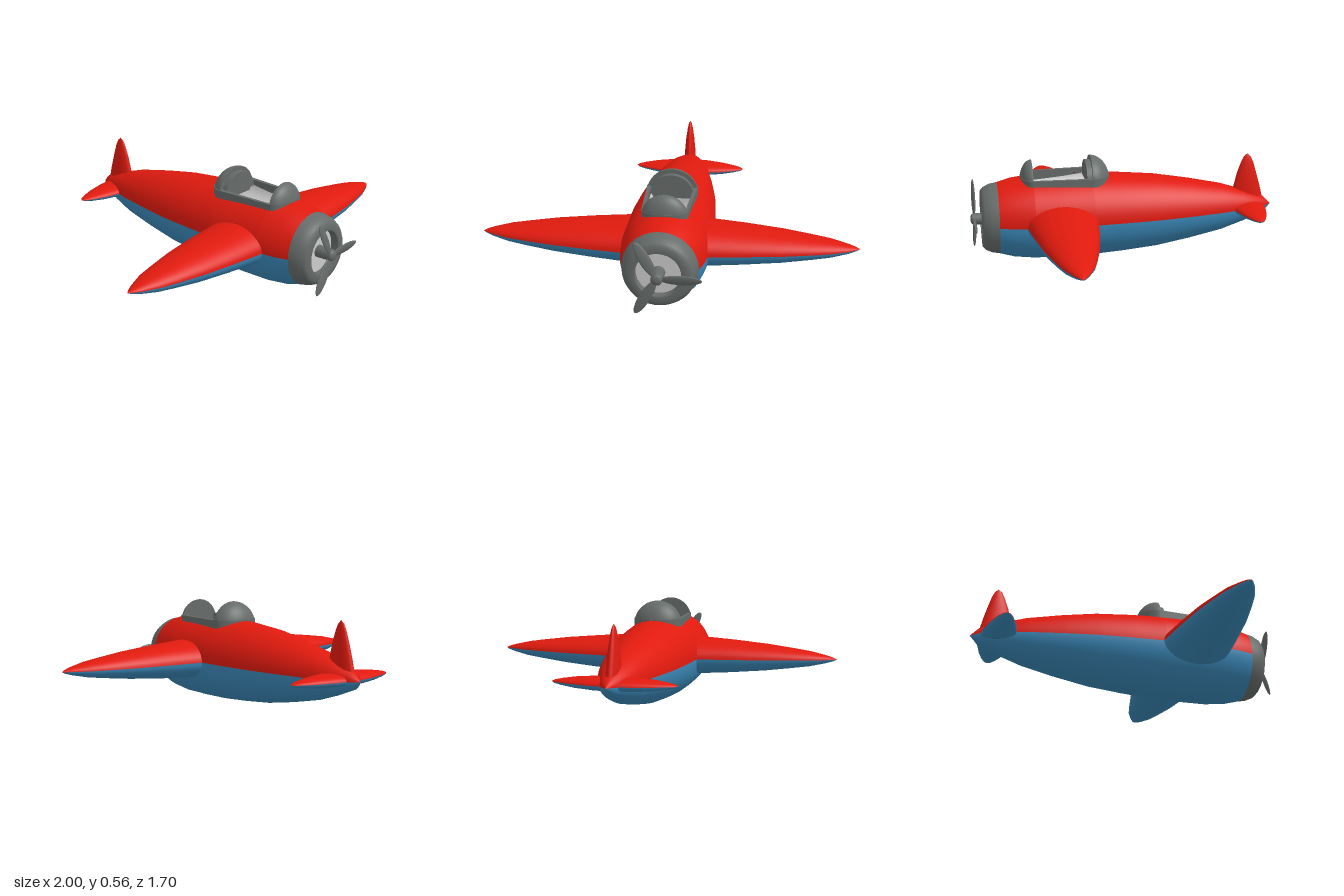
import * as THREE from 'three';

const Y = 0.233; // height of the fuselage axis
const mat = (color) => new THREE.MeshStandardMaterial({ color, side: THREE.DoubleSide });

export function createModel() {
  const plane = new THREE.Group();
  plane.name = 'airplane';
  const red = mat(0xe01a0e), blue = mat(0x3a88b8), dark = mat(0x666c6a), pale = mat(0xcccccc);

  const add = (name, geometry, material, parent = plane) => {
    const mesh = new THREE.Mesh(geometry, material);
    mesh.name = name;
    parent.add(mesh);
    return mesh;
  };

  // Body of revolution along z; profile is [radius, z]; phi = PI is the top
  const turned = (profile, start = 0, sweep = Math.PI * 2, segments = 48) =>
    new THREE.LatheGeometry(profile.map(([r, z]) => new THREE.Vector2(r, z)), segments, start, sweep)
      .rotateX(Math.PI / 2).translate(0, Y, 0);

  // Skin of elliptical sections along x; station is [span, centre z, half chord, half thickness]
  const loft = (stations, side, from, sweep, n = 20) => {
    const pos = [], idx = [];
    for (const [s, c, chord, thick] of stations)
      for (let j = 0; j <= n; j++) {
        const a = from + (sweep * j) / n;
        pos.push(side * s, thick * Math.sin(a), c + chord * Math.cos(a));
      }
    for (let i = 0; i < stations.length - 1; i++)
      for (let j = 0; j < n; j++) {
        const a = i * (n + 1) + j, b = a + n + 1;
        if (side > 0) idx.push(a, b, a + 1, b, b + 1, a + 1);
        else idx.push(a, a + 1, b, b, a + 1, b + 1);
      }
    const g = new THREE.BufferGeometry();
    g.setAttribute('position', new THREE.Float32BufferAttribute(pos, 3));
    g.setIndex(idx);
    g.computeVertexNormals();
    return g;
  };

  // Fuselage: red above, blue below, with a cockpit opening in the top
  const rear = [[0, -0.845], [0.045, -0.8], [0.09, -0.68], [0.131, -0.55], [0.17, -0.36],
    [0.202, -0.17], [0.219, 0.02], [0.23, 0.19]];
  const middle = [[0.23, 0.19], [0.232, 0.35], [0.23, 0.51]];
  const front = [[0.23, 0.51], [0.217, 0.62], [0.195, 0.7]];
  const gap = 0.5, half = Math.PI / 2;
  add('bellySkin', turned([...rear, ...middle.slice(1), ...front.slice(1)], -half, Math.PI), blue);
  add('rearUpperSkin', turned(rear, half, Math.PI), red);
  add('frontUpperSkin', turned(front, half, Math.PI), red);
  add('leftCockpitSide', turned(middle, half, half - gap, 16), red);
  add('rightCockpitSide', turned(middle, Math.PI + gap, half - gap, 16), red);

  // Engine cowl with a recessed front
  add('cowl', turned([[0.195, 0.7], [0.188, 0.74], [0.172, 0.775], [0.155, 0.79], [0.12, 0.792],
    [0.117, 0.785], [0.117, 0.73]]), dark);
  add('engineFace', new THREE.CircleGeometry(0.12, 40).translate(0, Y, 0.745), pale);

  // Wings and tailplanes, in mirrored pairs
  const wing = [[0.18, 0.365, 0.196, 0.108], [0.4, 0.365, 0.169, 0.093], [0.6, 0.366, 0.139, 0.075],
    [0.75, 0.367, 0.105, 0.056], [0.85, 0.367, 0.079, 0.042], [0.94, 0.368, 0.041, 0.022],
    [0.98, 0.367, 0.018, 0.01], [1, 0.367, 0, 0]];
  const tailplane = [[0.02, -0.7, 0.098, 0.036], [0.1, -0.699, 0.091, 0.034], [0.2, -0.698, 0.067, 0.027],
    [0.27, -0.698, 0.042, 0.017], [0.31, -0.698, 0.022, 0.009], [0.328, -0.698, 0, 0]];
  for (const [label, side] of [['left', 1], ['right', -1]])
    for (const [part, stations] of [['Wing', wing], ['Tailplane', tailplane]]) {
      const g = new THREE.Group();
      g.name = label + part;
      g.position.y = Y;
      add('upperSkin', loft(stations, side, 0, Math.PI), red, g);
      add('lowerSkin', loft(stations, side, Math.PI, Math.PI), blue, g);
      plane.add(g);
    }

  // Upright fin
  const fin = add('tailFin', loft([[0.24, -0.705, 0.1, 0.036], [0.34, -0.703, 0.077, 0.031],
    [0.42, -0.701, 0.056, 0.024], [0.48, -0.702, 0.036, 0.016], [0.515, -0.702, 0.02, 0.009],
    [0.532, -0.702, 0, 0]], 1, 0, Math.PI * 2, 32), red);
  fin.rotation.z = Math.PI / 2;

  // Cockpit rim: a rounded frame with a window-shaped hole
  const rim = new THREE.Shape();
  rim.absellipse(0, -0.51, 0.12, 0.065, Math.PI, Math.PI * 2, false);
  rim.absellipse(0, -0.19, 0.137, 0.105, 0, Math.PI, false);
  const opening = new THREE.Path();
  opening.setFromPoints([[-0.104, -0.51], [-0.114, -0.2], [0.114, -0.2], [0.104, -0.51]]
    .map(([x, y]) => new THREE.Vector2(x, y)));
  rim.holes.push(opening);
  add('cockpitRim', new THREE.ExtrudeGeometry(rim, { depth: 0.06, bevelEnabled: false, curveSegments: 24 })
    .rotateX(-half).translate(0, 0.402, 0), dark);

  // Rounded tub inside the opening
  add('cockpitTub', new THREE.CylinderGeometry(1, 1, 1, 32, 1, false, -half, Math.PI)
    .rotateX(half).scale(0.115, 0.1, 0.32).translate(0, 0.45, 0.355), pale);

  // Quarter domes: windshield ahead, headrest fairing behind, each with a flat closing wall
  const dome = (name, z, rx, ry, rz, dir) => {
    const g = new THREE.Group();
    g.name = name;
    g.position.set(0, 0.43, z);
    add('shell', new THREE.SphereGeometry(1, 32, 16, dir > 0 ? 0 : Math.PI, Math.PI, 0, half)
      .scale(rx, ry, rz), dark, g);
    add('wall', new THREE.CircleGeometry(1, 32, 0, Math.PI).scale(rx, ry, 1), dark, g);
    plane.add(g);
  };
  dome('windshield', 0.51, 0.12, 0.119, 0.066, 1);
  dome('headrestFairing', 0.19, 0.137, 0.131, 0.105, -1);
  add('headrestPanel', new THREE.CylinderGeometry(1, 1, 1, 32, 1, false, half, Math.PI)
    .rotateX(half).scale(0.115, 0.108, 0.03).translate(0, 0.43, 0.204), dark);

  // Three-bladed propeller
  const propeller = new THREE.Group();
  propeller.name = 'propeller';
  propeller.position.set(0, Y, 0.828);
  add('hub', new THREE.CylinderGeometry(0.03, 0.033, 0.09, 24).rotateX(half).translate(0, 0, -0.035), dark, propeller);
  add('spinner', new THREE.SphereGeometry(0.03, 24, 12).scale(1, 1, 0.5).translate(0, 0, 0.007), dark, propeller);
  for (let i = 0; i < 3; i++) {
    const blade = add('blade', new THREE.SphereGeometry(1, 24, 12).scale(0.106, 0.029, 0.008)
      .rotateX(0.25).translate(0.118, 0, 0), dark, propeller);
    blade.rotation.z = (i * Math.PI * 2) / 3;
  }
  plane.add(propeller);
  return plane;
}
